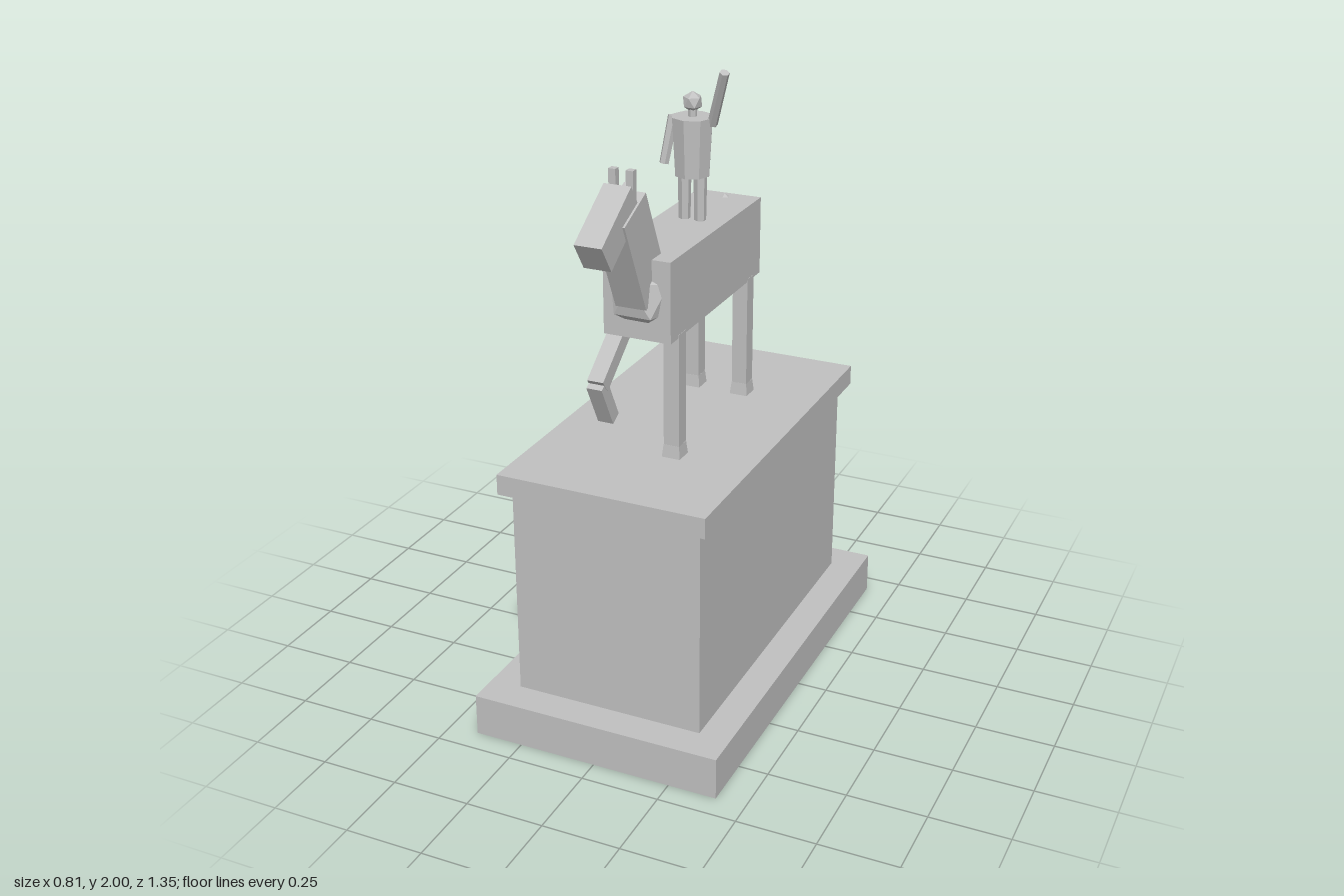
import * as THREE from 'three';

export function createModel() {
  const statue = new THREE.Group();
  statue.name = 'equestrianStatue';
  const stone = new THREE.MeshStandardMaterial({ color: 0xc0c0c0, flatShading: true });
  stone.name = 'stone grey';

  const add = (parent, name, geometry, x = 0, y = 0, z = 0) => {
    const mesh = new THREE.Mesh(geometry, stone);
    mesh.name = name;
    mesh.position.set(x, y, z);
    parent.add(mesh);
    return mesh;
  };
  const group = (name) => {
    const g = new THREE.Group();
    g.name = name;
    statue.add(g);
    return g;
  };
  // Level block between two heights
  const block = (parent, name, w, d, y0, y1, x = 0, z = 0) =>
    add(parent, name, new THREE.BoxGeometry(w, y1 - y0, d), x, (y0 + y1) / 2, z);
  // Tilted block running between two [y, z] points
  const beam = (parent, name, w, depth, [y0, z0], [y1, z1], x = 0) => {
    const length = Math.hypot(y1 - y0, z1 - z0);
    const mesh = add(parent, name, new THREE.BoxGeometry(w, length, depth), x, (y0 + y1) / 2, (z0 + z1) / 2);
    mesh.rotation.x = Math.atan2(z1 - z0, y1 - y0);
    return mesh;
  };
  // Tapered rod from point a (radius ra) to point b (radius rb)
  const rod = (parent, name, a, b, ra, rb, sides) => {
    const start = new THREE.Vector3(...a), end = new THREE.Vector3(...b);
    const dir = end.clone().sub(start);
    const mesh = add(parent, name, new THREE.CylinderGeometry(rb, ra, dir.length(), sides));
    mesh.position.copy(start).add(end).multiplyScalar(0.5);
    mesh.quaternion.setFromUnitVectors(new THREE.Vector3(0, 1, 0), dir.normalize());
    return mesh;
  };
  // Twenty-sided ball standing on a corner
  const ball = (parent, name, r, y, z, turn) => {
    const g = new THREE.IcosahedronGeometry(r, 0);
    g.rotateZ(Math.atan(2 / (1 + Math.sqrt(5)))).rotateY(turn);
    return add(parent, name, g, 0, y, z);
  };

  // Plinth
  const plinth = group('plinth');
  block(plinth, 'plinthBase', 0.81, 1.35, 0, 0.135);
  block(plinth, 'plinthBody', 0.61, 1.14, 0.135, 0.815);
  block(plinth, 'plinthCap', 0.672, 1.21, 0.815, 0.88);

  // Horse trunk
  const horse = group('horse');
  block(horse, 'trunk', 0.216, 0.674, 1.27, 1.52, 0, 0.003);
  ball(horse, 'chest', 0.112, 1.398, 0.288, 0.3);
  ball(horse, 'rump', 0.117, 1.413, -0.296, 0.3);
  rod(horse, 'tail', [0, 1.45, -0.345], [0, 1.132, -0.42], 0.025, 0.012, 6);

  // Standing legs with flared hooves
  for (const [name, x, z] of [
    ['frontLeftLeg', 0.084, 0.262], ['backLeftLeg', 0.084, -0.257], ['backRightLeg', -0.084, -0.257],
  ]) {
    block(horse, name, 0.05, 0.05, 0.88, 1.28, x, z);
    const hoof = new THREE.CylinderGeometry(0.036, 0.042, 0.04, 4).rotateY(Math.PI / 4);
    add(horse, name + 'Hoof', hoof, x, 0.9, z);
  }

  // Raised front leg
  beam(horse, 'raisedUpperLeg', 0.052, 0.048, [1.262, 0.28], [1.143, 0.434], -0.084);
  beam(horse, 'raisedLowerLeg', 0.05, 0.042, [1.15, 0.438], [1.016, 0.368], -0.084);

  // Neck, mane, head and ears
  beam(horse, 'neck', 0.098, 0.15, [1.41, 0.31], [1.698, 0.442]);
  beam(horse, 'mane', 0.026, 0.04, [1.5, 0.288], [1.747, 0.402]);
  beam(horse, 'horseHead', 0.085, 0.1, [1.603, 0.608], [1.726, 0.424]);
  for (const [side, name] of [[1, 'leftEar'], [-1, 'rightEar']]) {
    block(horse, name, 0.022, 0.022, 1.7, 1.805, side * 0.027, 0.421);
  }

  // Rider
  const rider = group('rider');
  const cz = -0.05;
  for (const [side, name] of [[1, 'riderLeftLeg'], [-1, 'riderRightLeg']]) {
    rod(rider, name, [side * 0.026, 1.51, cz], [side * 0.026, 1.67, cz], 0.018, 0.021, 6);
  }
  add(rider, 'torso', new THREE.CylinderGeometry(0.065, 0.055, 0.18, 8), 0, 1.749, cz);
  add(rider, 'riderNeck', new THREE.CylinderGeometry(0.014, 0.014, 0.04, 6), 0, 1.85, cz);
  ball(rider, 'riderHead', 0.032, 1.883, cz, 0.3);
  rod(rider, 'loweredArm', [-0.066, 1.832, -0.057], [-0.087, 1.688, -0.035], 0.017, 0.015, 6);
  rod(rider, 'raisedArm', [0.062, 1.82, -0.056], [0.126, 1.994, 0.005], 0.016, 0.015, 6);

  return statue;
}
